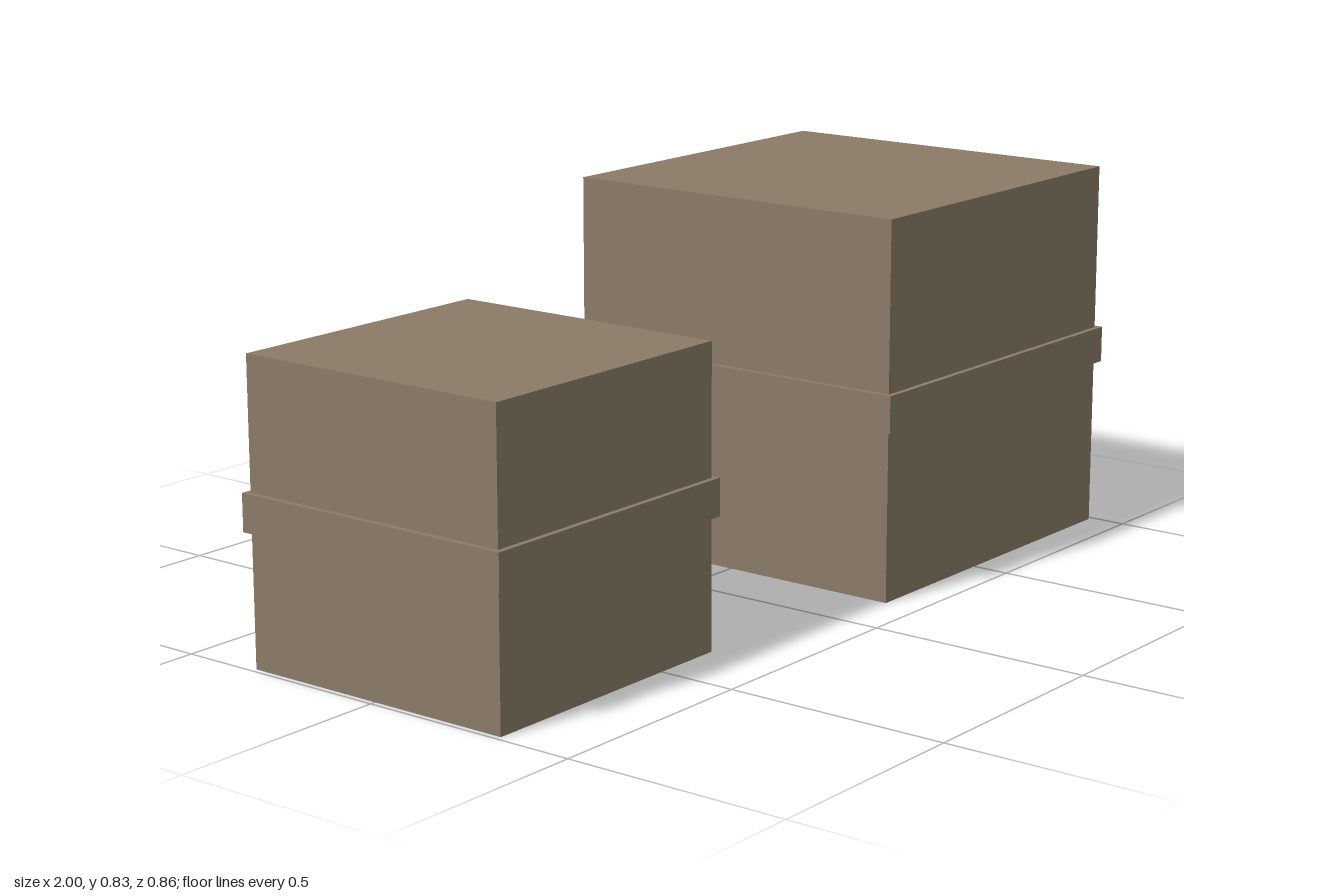
import * as THREE from 'three';

export function createModel() {
  const group = new THREE.Group();
  const brown = new THREE.MeshStandardMaterial({ color: 0x8b7b68 });
  brown.name = 'crate brown';

  const addBox = (parent, name, width, height, y) => {
    const mesh = new THREE.Mesh(new THREE.BoxGeometry(width, height, width), brown);
    mesh.name = name;
    mesh.position.y = y;
    parent.add(mesh);
  };

  // A cube-shaped crate with a raised band around its middle
  const addCrate = (name, x, size, bandWidth) => {
    const crate = new THREE.Group();
    crate.name = name;
    crate.position.x = x;
    addBox(crate, 'body', size, size, size / 2);
    addBox(crate, 'band', bandWidth, 0.081, size / 2 + 0.002);
    group.add(crate);
  };

  addCrate('largeCrate', 0.571, 0.833, 0.858);
  addCrate('smallCrate', -0.663, 0.65, 0.674);
  return group;
}
